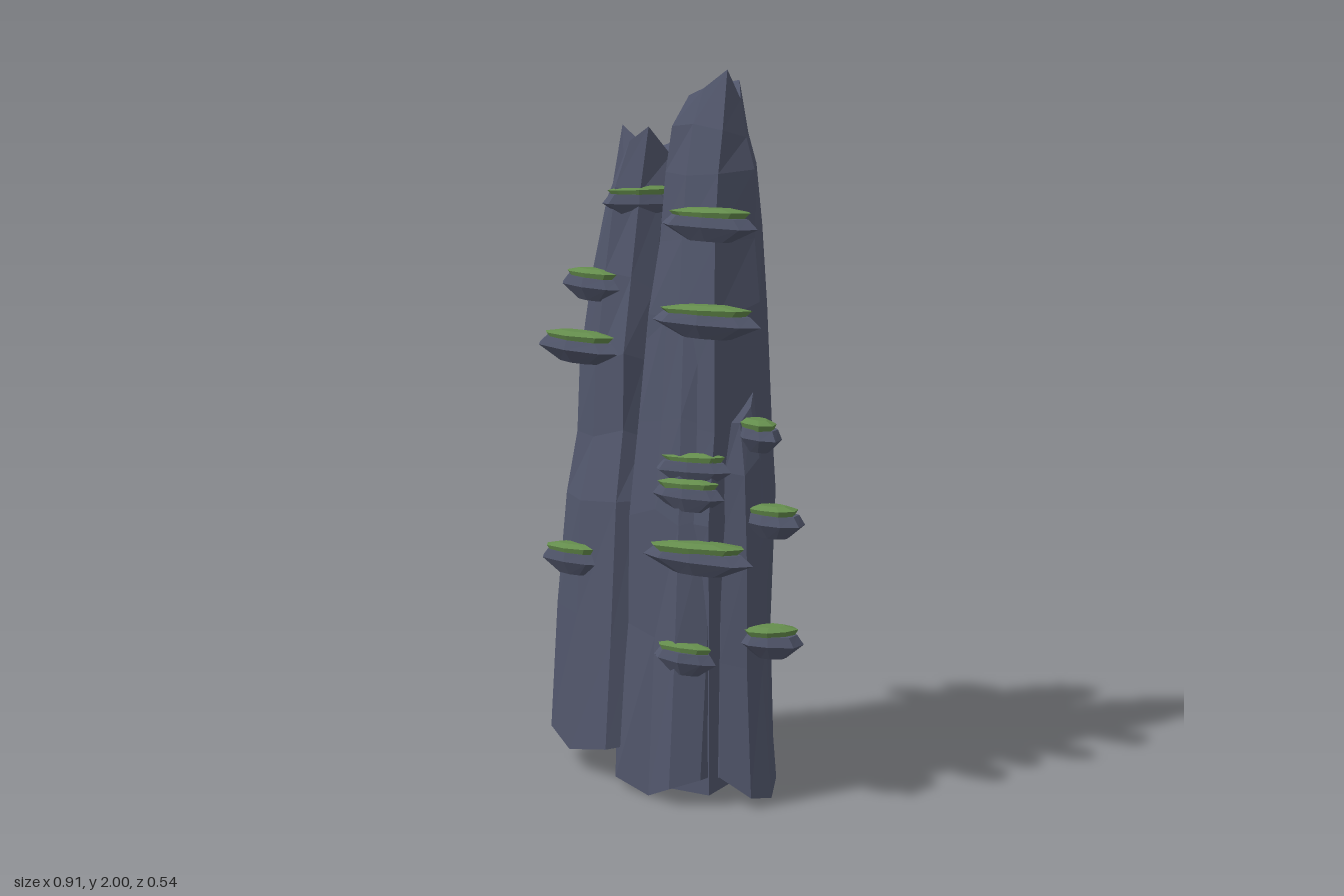
import * as THREE from 'three';

const rock = new THREE.MeshStandardMaterial({ color: 0x51566b });
rock.name = 'slate rock';
const moss = new THREE.MeshStandardMaterial({ color: 0x648c4c });
moss.name = 'moss green';

// repeatable noise in -1..1
const noise = (i, j) => {
  const s = Math.sin(i * 12.9898 + j * 78.233) * 43758.5453;
  return (s - Math.floor(s)) * 2 - 1;
};

// faceted closed solid through rings of [x, y, z], listed bottom to top
function loft(rings, topDip = 0, bottomRise = 0) {
  const pos = [];
  const n = rings[0].length;
  const tri = (a, b, c) => pos.push(...a, ...b, ...c);
  const middle = (ring, dy) => {
    const c = [0, dy, 0];
    ring.forEach((p) => p.forEach((v, k) => { c[k] += v / n; }));
    return c;
  };
  const last = rings[rings.length - 1];
  const low = middle(rings[0], bottomRise);
  const high = middle(last, -topDip);
  for (let i = 0; i < n; i++) {
    const k = (i + 1) % n;
    for (let r = 0; r < rings.length - 1; r++) {
      const a = rings[r], b = rings[r + 1];
      tri(a[i], b[i], a[k]);
      tri(a[k], b[i], b[k]);
    }
    tri(rings[0][i], rings[0][k], low);
    tri(last[k], last[i], high);
  }
  const g = new THREE.BufferGeometry();
  g.setAttribute('position', new THREE.Float32BufferAttribute(pos, 3));
  g.computeVertexNormals();
  return g;
}

function addMesh(parent, name, geometry, material) {
  const m = new THREE.Mesh(geometry, material);
  m.name = name;
  parent.add(m);
  return m;
}

// column from a base outline [x, z, y] to a crown outline [x, z, y];
// levels are [height, blend from base to crown]
function pillar(parent, name, base, crown, levels, seed, dip) {
  const rings = [base.map(([x, z, y]) => [x, y, z])];
  levels.forEach(([y, t], l) => rings.push(base.map(([x, z], i) => [
    x + (crown[i][0] - x) * t + noise(i + seed, l) * 0.007,
    y + noise(i + seed, l + 9) * 0.03,
    z + (crown[i][1] - z) * t + noise(i + seed, l + 20) * 0.007,
  ])));
  rings.push(crown.map(([x, z, y]) => [x, y, z]));
  addMesh(parent, name, loft(rings, dip, 0.05), rock);
}

// rough pointed oval ring used by the ledges
function oval(halfLength, halfDepth, y, seed) {
  return Array.from({ length: 8 }, (_, i) => {
    const a = (i / 8) * Math.PI * 2;
    const k = 1 + noise(i, seed) * 0.13;
    return [Math.cos(a) * halfLength * (i % 4 ? k : 1), y, Math.sin(a) * halfDepth * k];
  });
}

function ledge(parent, [x, y, z, len, depth, turn], index) {
  const g = new THREE.Group();
  g.name = 'mossyLedge' + (index + 1);
  g.position.set(x, y, z);
  g.rotation.set(0, turn, noise(index, 3) * 0.04);
  addMesh(g, 'ledgeRock', loft([
    oval(len * 0.45, depth * 0.5, -0.045, index),
    oval(len, depth, -0.006, index),
    oval(len * 0.8, depth * 0.85, 0.02, index),
  ]), rock);
  const cap = addMesh(g, 'ledgeMoss', loft([
    oval(len * 0.72, depth * 0.75, 0.016, index + 30),
    oval(len * 0.85, depth * 0.88, 0.033, index + 30),
    oval(len * 0.45, depth * 0.45, 0.043, index + 30),
  ]), moss);
  cap.rotation.z = 0.03;
  parent.add(g);
}

export function createModel() {
  const model = new THREE.Group();
  model.name = 'mossyRockSpires';

  // tall spire
  pillar(model, 'tallSpire',
    [[0.04, -0.22, 0.02], [0.22, -0.15, 0.1], [0.28, 0.02, 0.08], [0.22, 0.2, 0.03],
      [0.08, 0.18, 0.02], [-0.06, 0.12, 0.06], [-0.1, 0, 0.06], [-0.05, -0.13, 0.1]],
    [[0.08, -0.1, 1.96], [0.14, -0.08, 1.97], [0.18, -0.02, 1.92], [0.165, 0.025, 2.0],
      [0.1, 0.04, 1.95], [0.05, 0.035, 1.93], [0.025, -0.01, 1.91], [0.04, -0.07, 1.93]],
    [[0.45, 0.06], [0.8, -0.03], [1.02, 0.08], [1.35, 0.2], [1.55, 0.36], [1.72, 0.5], [1.84, 0.7]],
    1, 0.02);

  // left spire with a split crown
  pillar(model, 'leftSpire',
    [[-0.32, -0.22, 0.06], [-0.12, -0.24, 0.1], [-0.03, -0.15, 0.1], [-0.06, 0.18, 0.12],
      [-0.11, 0.22, 0.11], [-0.29, 0.14, 0.06], [-0.41, 0.06, 0.09], [-0.44, -0.11, 0.11]],
    [[-0.22, -0.16, 1.77], [-0.14, -0.18, 1.77], [-0.09, -0.14, 1.8], [-0.075, -0.07, 1.76],
      [-0.11, -0.01, 1.84], [-0.16, 0.01, 1.8], [-0.2, -0.02, 1.74], [-0.25, -0.09, 1.84]],
    [[0.45, 0.12], [0.8, 0.22], [1.0, 0.42], [1.2, 0.43], [1.42, 0.6], [1.66, 0.78]],
    17, 0.02);

  // front buttress leaning on the tall spire
  pillar(model, 'frontButtress',
    [[-0.08, 0, 0.06], [0.1, 0, 0.05], [0.23, 0.1, 0.08], [0.21, 0.23, 0.08],
      [0.13, 0.265, 0.05], [0.03, 0.215, 0], [-0.09, 0.2, 0.03], [-0.155, 0.1, 0.07]],
    [[-0.04, 0, 1.35], [0.1, 0, 1.36], [0.2, 0.06, 1.37], [0.19, 0.14, 1.35],
      [0.11, 0.155, 1.36], [0.04, 0.13, 1.36], [-0.04, 0.1, 1.34], [-0.065, 0.05, 1.34]],
    [[0.45, 0.32], [0.78, 0.45], [1.05, 0.75]],
    33, 0);

  // small right buttress
  pillar(model, 'rightButtress',
    [[0.2, 0.05, 0.05], [0.27, 0.03, 0.08], [0.34, 0.04, 0.06], [0.36, 0.1, 0.02],
      [0.33, 0.16, 0.03], [0.24, 0.18, 0.08], [0.19, 0.13, 0.05]],
    [[0.2, 0.05, 1.14], [0.24, 0.035, 1.15], [0.26, 0.04, 1.14], [0.27, 0.07, 1.1],
      [0.26, 0.11, 1.06], [0.22, 0.13, 1.06], [0.19, 0.1, 1.1]],
    [[0.4, 0.42], [0.72, 0.5], [0.95, 0.62]],
    51, 0);

  // ledges: x, y, z, half length, half depth, turn
  [
    [0.18, 1.595, 0.14, 0.15, 0.052, 0],
    [0.195, 1.34, 0.18, 0.17, 0.052, 0],
    [0.305, 1.03, 0.09, 0.09, 0.05, -0.5],
    [0.15, 0.935, 0.17, 0.12, 0.04, 0],
    [0.145, 0.865, 0.19, 0.115, 0.035, 0],
    [0.36, 0.8, 0.1, 0.1, 0.055, -0.3],
    [0.19, 0.7, 0.215, 0.175, 0.052, 0],
    [0.15, 0.415, 0.215, 0.1, 0.035, 0],
    [0.365, 0.47, 0.115, 0.09, 0.055, 0.3],
    [-0.26, 1.4, 0.045, 0.125, 0.05, -0.2],
    [-0.29, 1.225, 0.075, 0.165, 0.052, -0.22],
    [-0.29, 0.62, 0.11, 0.125, 0.045, -0.2],
    [-0.125, 1.635, 0.005, 0.11, 0.045, 0.45],
    [-0.27, 1.425, -0.2, 0.13, 0.05, -0.05],
    [-0.28, 1.225, -0.215, 0.16, 0.055, 0.15],
    [-0.28, 0.51, -0.215, 0.15, 0.055, 0.15],
  ].forEach((spec, i) => ledge(model, spec, i));

  return model;
}
